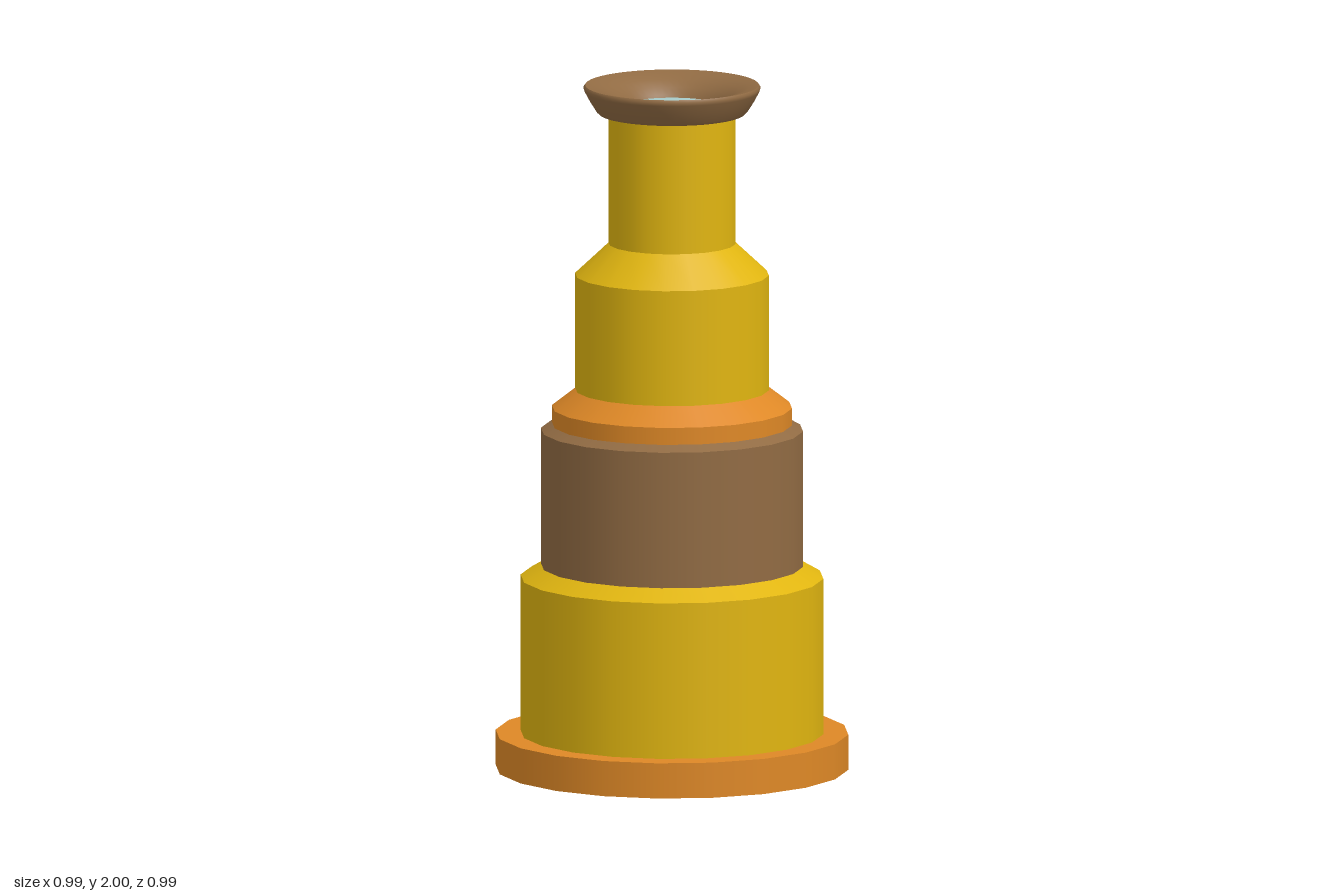
import * as THREE from 'three';
import { mergeGeometries } from 'three/addons/utils/BufferGeometryUtils.js';

const mat = (name, color) => {
  const m = new THREE.MeshStandardMaterial({ color });
  m.name = name;
  return m;
};

// Turn a profile of [radius, y] points, smooth along its whole length.
const turn = (points, sides) =>
  new THREE.LatheGeometry(points.map(([r, y]) => new THREE.Vector2(r, y)), sides);

// Turn a profile with a hard edge at every point, but smooth around the axis.
const turnCreased = (points, sides) =>
  mergeGeometries(points.slice(1).map((p, i) => turn([points[i], p], sides)));

// Shallow spherical cap from the axis to the rim.
const cap = (radius, yCentre, yRim, steps = 10) =>
  Array.from({ length: steps + 1 }, (_, i) => {
    const t = i / steps;
    return [radius * t, yCentre + (yRim - yCentre) * t * t];
  });

export function createModel() {
  const brass = mat('yellow brass', 0xe0b510);
  const copper = mat('orange copper', 0xde8826);
  const leather = mat('brown leather', 0x916b43);
  const glass = mat('pale glass', 0xa9cecd);

  const model = new THREE.Group();
  model.name = 'spyglass';
  const add = (name, geometry, material) => {
    const mesh = new THREE.Mesh(geometry, material);
    mesh.name = name;
    model.add(mesh);
  };

  // Stepped body, from the wide end up
  const sections = [
    ['objectiveFlange', copper, [[0.42, 0.06], [0.495, 0.06], [0.495, 0.16], [0.4, 0.16]]],
    ['objectiveTube', brass, [[0.425, 0.16], [0.425, 0.602], [0.368, 0.635]]],
    ['gripTube', leather, [[0.368, 0.63], [0.368, 1.02], [0.335, 1.038]]],
    ['collar', copper, [[0.337, 1.035], [0.337, 1.085], [0.27, 1.137]]],
    ['middleTube', brass, [[0.272, 1.13], [0.272, 1.462], [0.178, 1.55]]],
    ['eyepieceTube', brass, [[0.178, 1.545], [0.178, 1.93]]],
  ];
  for (const [name, material, points] of sections) add(name, turnCreased(points, 20), material);

  // Flared eyecup: flat underside, rounded flare, dished inside
  const flare = [[0.205, 1.92], [0.213, 1.928], [0.23, 1.955], [0.245, 1.983], [0.248, 1.993], [0.243, 2]];
  const dish = [[0.243, 2], [0.215, 1.994], [0.185, 1.982], [0.16, 1.964], [0.145, 1.945], [0.136, 1.925]];
  add('eyecup', mergeGeometries([
    turn([[0.16, 1.92], [0.205, 1.92]], 48),
    turn(flare, 48),
    turn(dish, 48),
  ]), leather);

  // Lenses
  add('objectiveLens', turn(cap(0.425, 0, 0.06), 48), glass);
  add('eyepieceLens', turn(cap(0.142, 1.95, 1.938).reverse(), 48), glass);

  return model;
}
